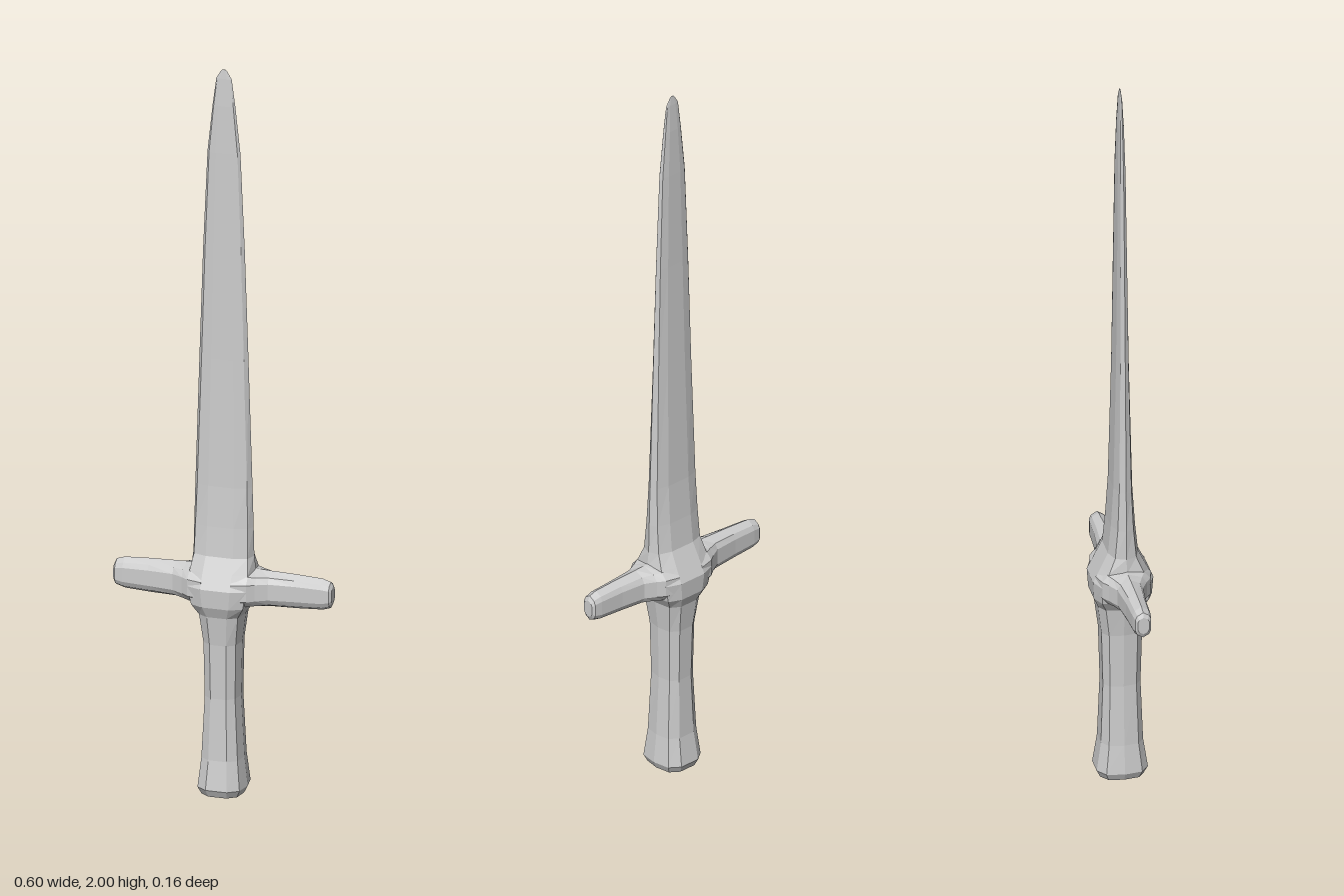
import * as THREE from 'three';

// Twelve-sided ring at height y: half width w, half depth d, bevel corner at (a*w, b*d)
function ring([y, w, d, a, b]) {
  const q = [[w, 0], [a * w, b * d], [0.45 * w, d]];
  const half = [...q, ...[q[2], q[1]].map(([x, z]) => [-x, z])];
  const pts = half.map(([x, z]) => [x, y, -z]);
  return [...pts, [-w, y, 0], ...half.slice(1).reverse().map(([x, z]) => [x, y, z])];
}

// Faceted skin over a stack of rings, closed at both ends
function loft(rows) {
  const rings = rows.map(ring), n = rings[0].length, pos = [];
  const tri = (...p) => p.forEach((v) => pos.push(...v));
  for (let r = 0; r < rings.length - 1; r++) {
    for (let i = 0; i < n; i++) {
      const j = (i + 1) % n, lo = rings[r], hi = rings[r + 1];
      tri(lo[i], lo[j], hi[j]);
      tri(lo[i], hi[j], hi[i]);
    }
  }
  const last = rings.length - 1;
  for (let i = 0; i < n; i++) {
    const j = (i + 1) % n;
    tri([0, rows[0][0], 0], rings[0][j], rings[0][i]);
    tri([0, rows[last][0], 0], rings[last][i], rings[last][j]);
  }
  const g = new THREE.BufferGeometry();
  g.setAttribute('position', new THREE.Float32BufferAttribute(pos, 3));
  g.computeVertexNormals();
  return g;
}

export function createModel() {
  const group = new THREE.Group();
  const steel = new THREE.MeshStandardMaterial({ color: 0xcccccc });
  steel.name = 'grey steel';
  const add = (name, geometry) => {
    const mesh = new THREE.Mesh(geometry, steel);
    mesh.name = name;
    group.add(mesh);
    return mesh;
  };

  // Grip, flared at the foot and where it meets the guard
  add('grip', loft([
    [0, 0.055, 0.058, 0.88, 0.7],
    [0.02, 0.065, 0.068, 0.88, 0.7],
    [0.1, 0.056, 0.056, 0.88, 0.7],
    [0.27, 0.047, 0.05, 0.88, 0.7],
    [0.42, 0.05, 0.054, 0.88, 0.7],
    [0.5, 0.06, 0.064, 0.88, 0.75],
    [0.53, 0.08, 0.077, 0.88, 0.8],
  ]));

  // Swollen hub between grip and blade
  add('hub', loft([
    [0.53, 0.08, 0.077, 0.88, 0.8],
    [0.58, 0.09, 0.08, 0.9, 0.8],
    [0.62, 0.088, 0.06, 0.9, 0.75],
    [0.66, 0.083, 0.04, 0.88, 0.7],
  ]));

  // Tapering blade with a bevelled edge
  add('blade', loft([
    [0.66, 0.083, 0.04, 0.88, 0.7],
    [0.74, 0.081, 0.032, 0.88, 0.65],
    [0.85, 0.078, 0.025, 0.87, 0.65],
    [1.2, 0.067, 0.017, 0.86, 0.65],
    [1.5, 0.057, 0.013, 0.86, 0.65],
    [1.77, 0.045, 0.01, 0.86, 0.65],
    [1.9, 0.031, 0.007, 0.86, 0.65],
    [1.975, 0.021, 0.003, 0.86, 0.65],
    [1.995, 0.009, 0.001, 0.86, 0.65],
    [2, 0.004, 0.0005, 0.86, 0.65],
  ]));

  // Cross guard arms, lofted upright then laid out to each side
  for (const side of [1, -1]) {
    const arm = add(side > 0 ? 'leftGuardArm' : 'rightGuardArm', loft([
      [0.04, 0.05, 0.074, 0.8, 0.75],
      [0.08, 0.051, 0.064, 0.8, 0.75],
      [0.1, 0.05, 0.05, 0.78, 0.75],
      [0.13, 0.049, 0.034, 0.76, 0.75],
      [0.2, 0.047, 0.027, 0.75, 0.75],
      [0.27, 0.043, 0.024, 0.75, 0.75],
      [0.292, 0.036, 0.021, 0.75, 0.75],
      [0.298, 0.024, 0.015, 0.75, 0.75],
    ]).rotateZ(-side * Math.PI / 2));
    arm.position.y = 0.575;
  }
  return group;
}
